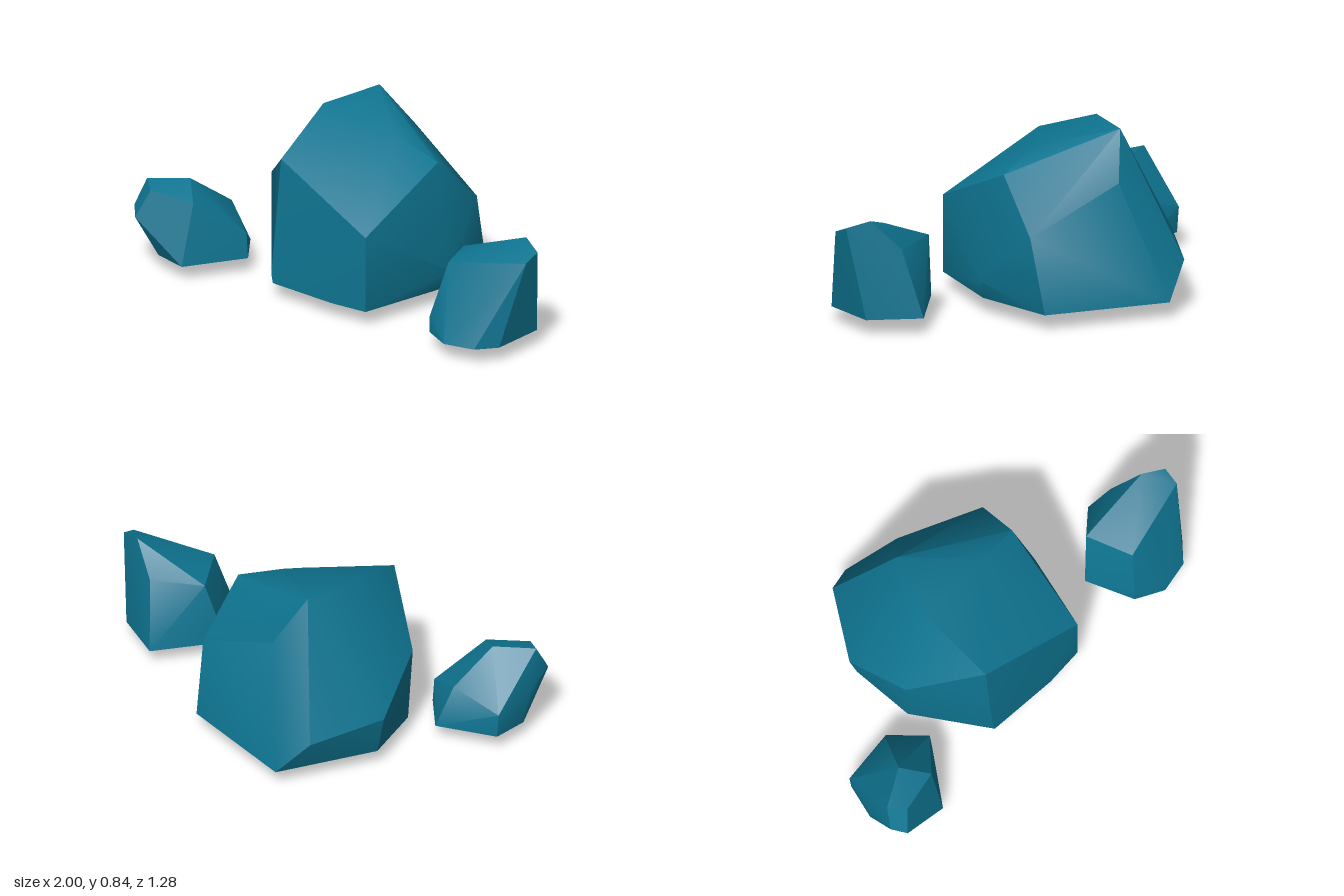
import * as THREE from 'three';
import { ConvexGeometry } from 'three/addons/geometries/ConvexGeometry.js';
import { toCreasedNormals } from 'three/addons/utils/BufferGeometryUtils.js';

const stone = new THREE.MeshStandardMaterial({ color: 0x0e7490 });
stone.name = 'blue stone';

// A rock is the hull of its corners, softly shaded except at sharp edges
function rock(name, corners) {
  const hull = new ConvexGeometry(corners.map((c) => new THREE.Vector3(...c)));
  const mesh = new THREE.Mesh(toCreasedNormals(hull, 0.6), stone);
  mesh.name = name;
  return mesh;
}

export function createModel() {
  const group = new THREE.Group();
  group.name = 'rockCluster';

  group.add(rock('largeRock', [
    // sloping crown
    [-0.33, 0.84, -0.33], [-0.38, 0.82, -0.03], [0, 0.76, -0.13], [0.21, 0.67, -0.2], [-0.28, 0.68, 0.32],
    // shoulders
    [-0.24, 0.63, -0.47], [0.21, 0.43, -0.44], [0.25, 0.45, 0.28], [-0.58, 0.45, 0.11],
    // widest corners
    [-0.54, 0.24, -0.55], [-0.68, 0.27, -0.2], [0.32, 0.17, -0.18], [-0.28, 0.12, 0.38],
    // base rim and lowest point
    [-0.41, 0.08, -0.64], [0.18, 0.08, -0.52], [0.29, 0.08, -0.15], [0.25, 0.08, 0.28], [0.07, 0.08, 0.33],
    [-0.27, 0.08, 0.38], [-0.56, 0.08, 0.1], [-0.64, 0.08, -0.2], [-0.13, 0, -0.18],
  ]));

  group.add(rock('leftRock', [
    // slanted top
    [0.88, 0.54, -0.14], [0.99, 0.51, -0.11], [1, 0.48, -0.03], [0.65, 0.42, 0.13], [0.53, 0.4, -0.07],
    // sides
    [0.75, 0.4, -0.2], [0.61, 0.16, 0.21],
    // base rim and lowest point
    [0.47, 0.08, 0.01], [0.61, 0.08, 0.21], [0.75, 0.08, 0.25], [0.89, 0.08, 0.19], [0.95, 0.08, 0.09],
    [0.92, 0.08, -0.17], [0.68, 0.08, -0.28], [0.76, 0.02, 0],
  ]));

  group.add(rock('rightRock', [
    // top
    [-0.88, 0.4, 0.58], [-0.96, 0.42, 0.53], [-0.81, 0.43, 0.4], [-0.69, 0.37, 0.49],
    // sides
    [-0.92, 0.27, 0.64], [-0.98, 0.3, 0.59], [-1, 0.25, 0.45], [-0.56, 0.2, 0.28], [-0.75, 0.28, 0.2], [-0.98, 0.2, 0.25],
    // base rim and lowest point
    [-0.55, 0.08, 0.28], [-0.68, 0.08, 0.57], [-0.85, 0.08, 0.56], [-0.98, 0.08, 0.42], [-0.97, 0.08, 0.25],
    [-0.7, 0.08, 0.13], [-0.77, 0, 0.36],
  ]));

  return group;
}
